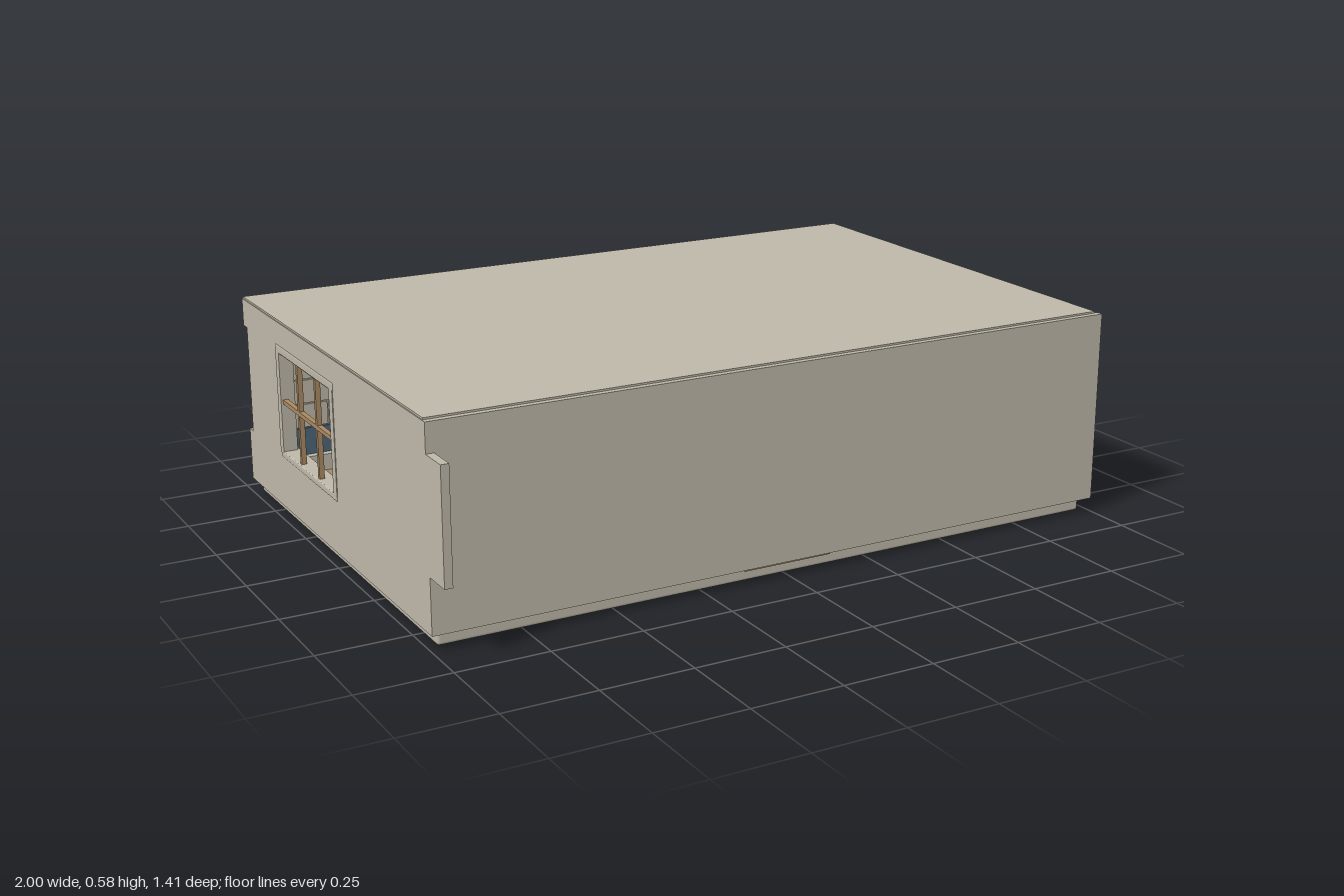
import * as THREE from 'three';
import { RoundedBoxGeometry } from 'three/addons/geometries/RoundedBoxGeometry.js';

export function createModel() {
  const room = new THREE.Group();
  room.name = 'room';
  const mat = (name, color) => {
    const m = new THREE.MeshStandardMaterial({ color });
    m.name = name;
    return m;
  };
  const plaster = mat('plaster', 0xbdb7a7);
  const wood = mat('wood', 0xa98963);
  const blue = mat('blue', 0x4c6377);
  const metal = mat('metal', 0x8d8d88);

  const add = (name, geometry, material, parent = room) => {
    const mesh = new THREE.Mesh(geometry, material);
    mesh.name = name;
    parent.add(mesh);
    return mesh;
  };
  // Box given by its limits on each axis; r rounds the edges
  const box = (name, [x0, x1], [y0, y1], [z0, z1], material = plaster, r = 0, parent = room) => {
    const s = [x1 - x0, y1 - y0, z1 - z0];
    const g = r ? new RoundedBoxGeometry(...s, 2, r) : new THREE.BoxGeometry(...s);
    const mesh = add(name, g, material, parent);
    mesh.position.set((x0 + x1) / 2, (y0 + y1) / 2, (z0 + z1) / 2);
    return mesh;
  };

  // Base and floor
  box('base', [-0.975, 0.975], [0, 0.035], [-0.685, 0.593], plaster, 0.009);
  box('floorBed', [-0.98, 0.97], [0.03, 0.04], [-0.675, 0.59]);
  box('threshold', [-0.13, 0.13], [0.034, 0.044], [0.585, 0.612], wood);

  // Staggered floor planks
  const planks = new THREE.Group();
  planks.name = 'floorPlanks';
  room.add(planks);
  const rows = 22, depth = 1.23 / rows;
  for (let i = 0; i < rows; i++) {
    const z = -0.645 + i * depth;
    let x = -0.975;
    let end = x + 0.12 + 0.09 * ((i * 2) % 5);
    while (x < 0.94) {
      box('plank', [x, Math.min(end, 0.945) - 0.003], [0.04, 0.047], [z, z + depth - 0.003], wood, 0, planks);
      x = end;
      end = x + 0.4;
      if (0.945 - x < 0.02) break;
    }
  }

  // Roof, front wall and back wall
  box('roof', [-0.995, 0.985], [0.555, 0.578], [-0.693, 0.602]);
  box('frontWall', [-0.995, 0.997], [0.04, 0.573], [0.598, 0.619]);
  box('backWall', [-0.99, 0.98], [0.035, 0.556], [-0.689, -0.668]);
  box('backCornice', [-0.985, 0.99], [0.534, 0.552], [-0.704, -0.635], plaster, 0.007);

  // Left-over end wall: tongue at the front, matching notch at the back, window hole
  const outline = new THREE.Shape();
  [[-0.694, 0.04], [0.619, 0.04], [0.619, 0.19], [0.705, 0.19], [0.705, 0.495], [0.619, 0.495],
    [0.619, 0.573], [-0.694, 0.573], [-0.694, 0.495], [-0.665, 0.495], [-0.665, 0.19], [-0.694, 0.19]]
    .forEach(([z, y], i) => (i ? outline.lineTo(z, y) : outline.moveTo(z, y)));
  const hole = new THREE.Path();
  hole.moveTo(-0.395, 0.205);
  hole.lineTo(-0.395, 0.485);
  hole.lineTo(-0.012, 0.485);
  hole.lineTo(-0.012, 0.205);
  hole.closePath();
  outline.holes.push(hole);
  const endWall = add('windowWall', new THREE.ExtrudeGeometry(outline, { depth: 0.022, bevelEnabled: false }), plaster);
  endWall.rotation.y = -Math.PI / 2;
  endWall.position.x = -0.976;

  // Window surround and glazing bars
  const win = new THREE.Group();
  win.name = 'window';
  room.add(win);
  box('lintel', [-1, -0.957], [0.485, 0.509], [-0.422, 0.017], plaster, 0.005, win);
  box('sill', [-1, -0.95], [0.186, 0.206], [-0.415, 0.01], plaster, 0.005, win);
  for (const z of [-0.42, -0.012]) {
    box('jamb', [-1, -0.96], [0.2, 0.49], [z, z + 0.025], plaster, 0, win);
  }
  for (const z of [-0.135, -0.272]) {
    box('uprightBar', [-0.994, -0.98], [0.205, 0.485], [z - 0.006, z + 0.006], wood, 0, win);
  }
  box('crossBar', [-0.994, -0.98], [0.342, 0.354], [-0.395, -0.012], wood, 0, win);

  // Low wall across the open end
  box('lowWall', [0.945, 0.978], [0.035, 0.117], [-0.655, 0.57]);
  box('lowWallCap', [0.925, 0.992], [0.114, 0.129], [-0.665, 0.575], plaster, 0.004);

  // Skirting and rails along front and back walls
  box('frontSkirting', [-0.97, 0.985], [0.04, 0.093], [0.573, 0.6]);
  box('frontSkirtingCap', [-0.97, 0.985], [0.093, 0.104], [0.567, 0.6], plaster, 0.004);
  box('frontPanel', [-0.97, 0.94], [0.104, 0.146], [0.592, 0.599], blue);
  box('frontRail', [-0.97, 0.985], [0.146, 0.16], [0.547, 0.6], plaster, 0.005);
  box('backSkirting', [-0.97, 0.96], [0.04, 0.095], [-0.669, -0.638]);
  box('backPanel', [-0.97, 0.945], [0.095, 0.175], [-0.669, -0.661], blue);

  // Shallow stone blocks on the back wall
  const blocks = new THREE.Group();
  blocks.name = 'wallBlocks';
  room.add(blocks);
  for (let r = 0; r < 5; r++) {
    const y = 0.178 + r * 0.072;
    for (let x = -0.97 - (r % 2) * 0.1; x < 0.93; x += 0.2) {
      box('block', [Math.max(x, -0.97), Math.min(x + 0.196, 0.945)], [y, y + 0.068], [-0.669, -0.663], plaster, 0, blocks);
    }
  }

  // Posts with capitals against the back wall
  for (const x of [-0.75, -0.25, 0.25, 0.75]) {
    box('post', [x - 0.016, x + 0.016], [0.04, 0.5], [-0.65, -0.618]);
    box('postCapital', [x - 0.024, x + 0.024], [0.492, 0.511], [-0.66, -0.61], plaster, 0.005);
  }
  box('cornerPost', [0.945, 0.985], [0.04, 0.54], [-0.688, -0.65]);

  // Tall wooden cabinet with doors and knobs
  const cabinet = new THREE.Group();
  cabinet.name = 'cabinet';
  room.add(cabinet);
  box('cabinetBody', [-0.55, -0.2], [0.04, 0.43], [-0.597, -0.525], wood, 0, cabinet);
  box('cabinetMoulding', [-0.56, -0.19], [0.417, 0.433], [-0.6, -0.519], wood, 0.004, cabinet);
  box('cabinetTop', [-0.565, -0.185], [0.437, 0.455], [-0.604, -0.514], wood, 0.005, cabinet);
  box('cabinetNeck', [-0.55, -0.2], [0.43, 0.44], [-0.597, -0.522], wood, 0, cabinet);
  for (const x of [-0.54, -0.37]) {
    for (const y of [0.06, 0.15, 0.24, 0.33]) {
      box('drawerFront', [x, x + 0.16], [y, y + 0.078], [-0.526, -0.521], wood, 0, cabinet);
      box('pull', [x + 0.065, x + 0.095], [y + 0.036, y + 0.044], [-0.522, -0.513], metal, 0, cabinet);
    }
  }

  // Small table with a bell-shaped ornament
  const table = new THREE.Group();
  table.name = 'table';
  room.add(table);
  box('tableBody', [-0.2, 0.05], [0.04, 0.172], [-0.244, -0.122], wood, 0, table);
  box('tableTop', [-0.22, 0.07], [0.168, 0.19], [-0.26, -0.106], wood, 0.007, table);
  const profile = [[0, 0], [0.022, 0], [0.022, 0.006], [0.012, 0.011], [0.012, 0.032], [0.006, 0.044], [0, 0.046]]
    .map(([r, y]) => new THREE.Vector2(r, y));
  add('ornament', new THREE.LatheGeometry(profile, 16), metal, table).position.set(-0.075, 0.19, -0.183);

  return room;
}
